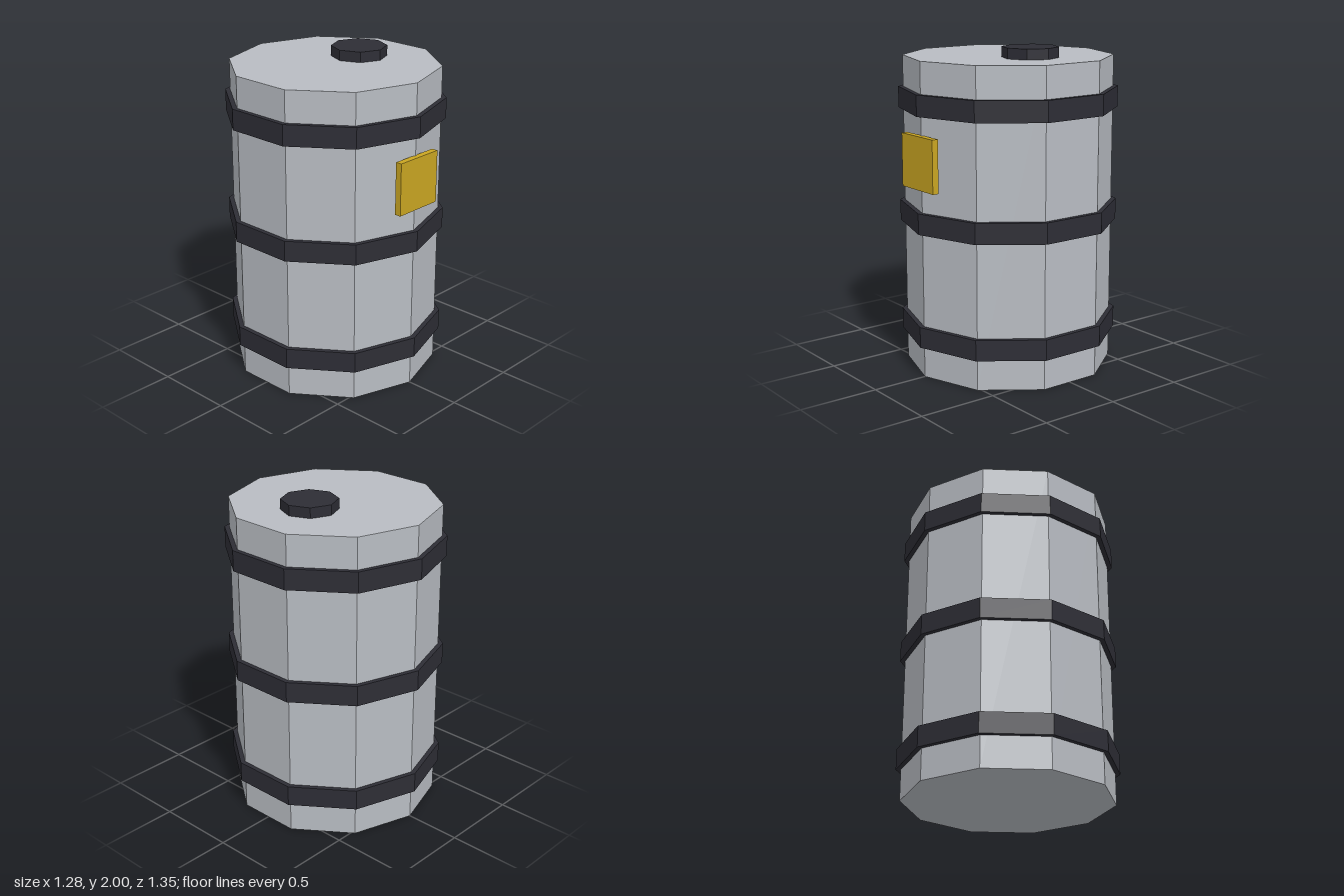
import * as THREE from 'three';

export function createModel() {
  const model = new THREE.Group();
  model.name = 'barrel';

  const mat = (name, color) => {
    const m = new THREE.MeshStandardMaterial({ color, flatShading: true });
    m.name = name;
    return m;
  };
  const steel = mat('greySteel', 0xb8bcc2);
  const dark = mat('darkMetal', 0x2d2d35);
  const yellow = mat('yellowLabel', 0xc9a522);

  const add = (name, geometry, material, x, y, z) => {
    const mesh = new THREE.Mesh(geometry, material);
    mesh.name = name;
    mesh.position.set(x, y, z);
    model.add(mesh);
  };

  // Ten-sided drum with a corner facing the front
  const height = 1.936;
  add('drumBody', new THREE.CylinderGeometry(0.645, 0.645, height, 10), steel, 0, height / 2, 0);

  // Three reinforcing hoops
  const hoop = new THREE.CylinderGeometry(0.675, 0.675, 0.129, 10);
  ['lowerHoop', 'middleHoop', 'upperHoop'].forEach((name, i) =>
    add(name, hoop, dark, 0, height / 2 + (i - 1) * 0.71, 0));

  // Off-centre filler cap on the lid
  add('fillerCap', new THREE.CylinderGeometry(0.172, 0.172, 0.065, 8), dark, 0.215, 1.9675, 0);

  // Flat label plate on the front corner
  add('labelPlate', new THREE.BoxGeometry(0.323, 0.323, 0.04), yellow, 0, 1.338, 0.656);

  return model;
}
